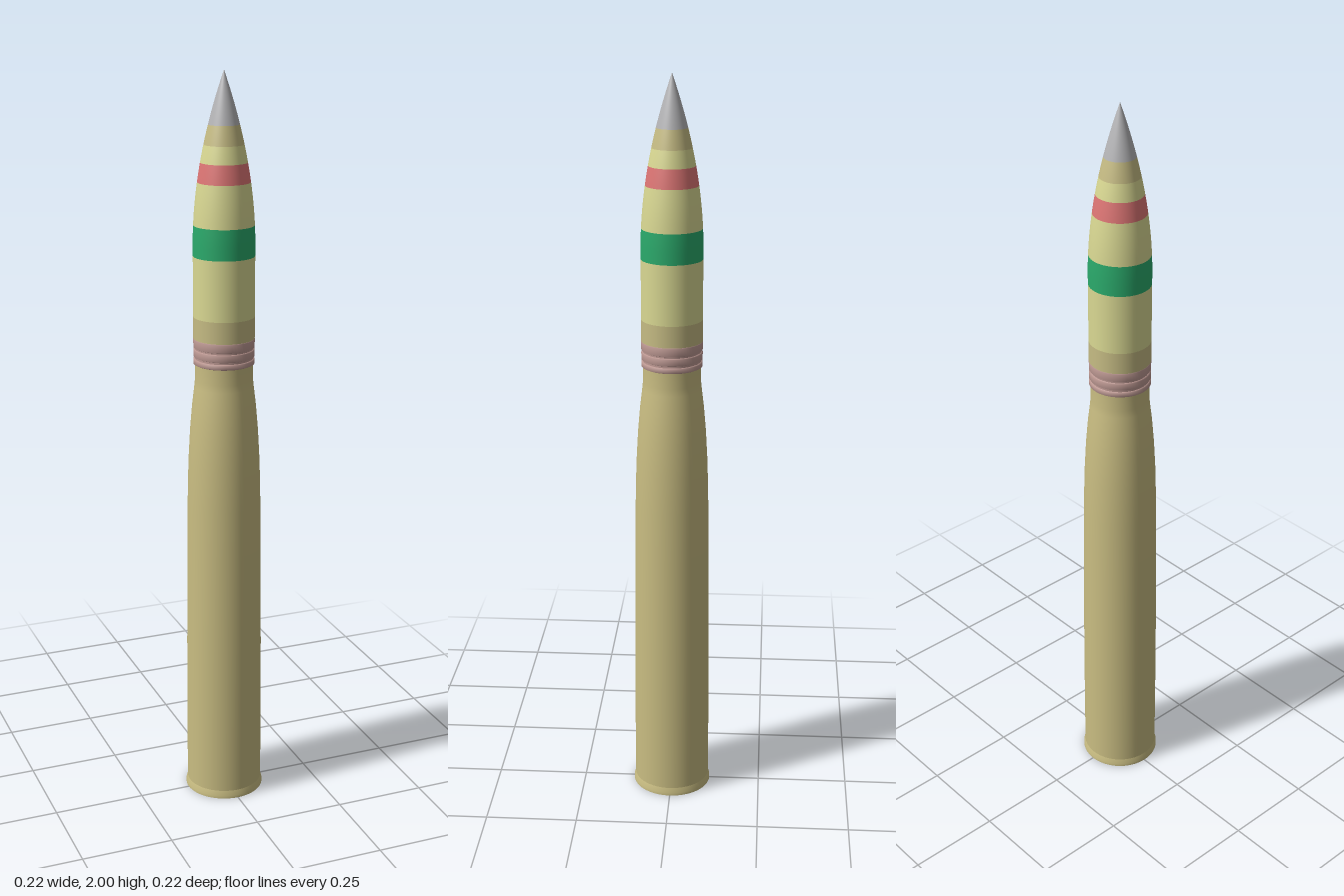
import * as THREE from 'three';

const SEGMENTS = 64;
const BRASS = 0xc9bd82, CREAM = 0xdad993, TAN = 0xc6bc84, PINK = 0xbf9a94;
const GREEN = 0x2bab6c, RED = 0xde7675, STEEL = 0xb4b4b6;

// Projectile radius at height y: straight body, then a curved ogive to the tip
function noseRadius(y) {
  const t = Math.max(0, (y - 1.56) / 0.44);
  return 0.081 * (1 - Math.pow(t, 1.9));
}

function turned(name, color, profile) {
  const points = profile.map(([r, y]) => new THREE.Vector2(r, y));
  const material = new THREE.MeshStandardMaterial({ color, side: THREE.DoubleSide });
  const mesh = new THREE.Mesh(new THREE.LatheGeometry(points, SEGMENTS), material);
  mesh.name = name;
  return mesh;
}

// One painted stretch of the projectile, following its curve
function band(name, color, y0, y1, steps = 6) {
  const profile = [];
  for (let i = 0; i <= steps; i++) {
    const y = y0 + (y1 - y0) * i / steps;
    profile.push([Math.max(0, noseRadius(y)), y]);
  }
  return turned(name, color, profile);
}

export function createModel() {
  const group = new THREE.Group();
  group.name = 'artilleryRound';

  // Hollow cartridge case with a flared foot
  group.add(turned('caseRim', BRASS, [[0.108, 0], [0.108, 0.008], [0.104, 0.022]]));
  group.add(turned('caseBody', BRASS, [
    [0.104, 0.022], [0.104, 0.2], [0.103, 0.44], [0.101, 0.65], [0.099, 0.85],
    [0.096, 0.97], [0.091, 1.06], [0.085, 1.13], [0.079, 1.18], [0.077, 1.2], [0.077, 1.242],
  ]));

  // Driving band: three rings parted by narrow grooves
  const rings = [[1.242, 1.257], [1.262, 1.283], [1.287, 1.312]];
  rings.forEach(([y0, y1], i) => {
    group.add(turned('drivingBandRing' + (i + 1), PINK, [[0.077, y0], [0.081, y0 + 0.002], [0.081, y1 - 0.002], [0.077, y1]]));
  });
  group.add(turned('drivingBandCore', PINK, [[0.077, 1.242], [0.077, 1.312], [0.081, 1.312]]));

  // Projectile body and its painted bands
  group.add(band('bodyBase', TAN, 1.312, 1.37, 1));
  group.add(band('bodyLower', CREAM, 1.37, 1.53, 1));
  group.add(band('greenBand', GREEN, 1.53, 1.61));
  group.add(band('bodyUpper', CREAM, 1.61, 1.72));
  group.add(band('redBand', RED, 1.72, 1.77));
  group.add(band('noseCollar', CREAM, 1.77, 1.815));
  group.add(band('fuzeBase', TAN, 1.815, 1.865));
  group.add(band('fuzeTip', STEEL, 1.865, 2, 12));

  return group;
}
